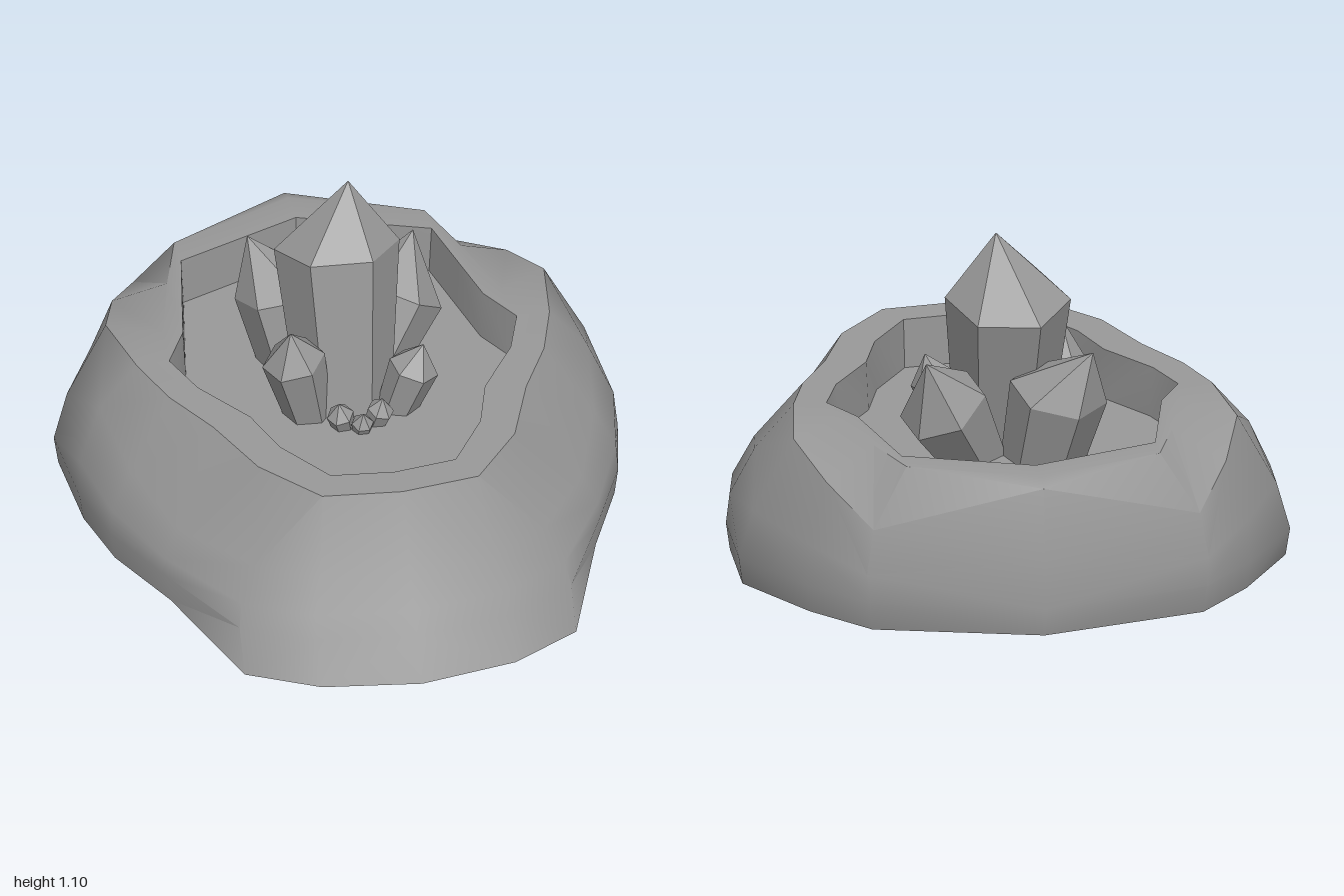
import * as THREE from 'three';
import { toCreasedNormals } from 'three/addons/utils/BufferGeometryUtils.js';

const stone = new THREE.MeshStandardMaterial({ color: 0x999999, side: THREE.DoubleSide });
stone.name = 'grey stone';

const FLOOR = 0.38;
const { lerp, smoothstep } = THREE.MathUtils;
const flat = (y, pts) => pts.map(([x, z]) => [x, y, z]);

// Half outlines of the rock, from the back, along +x, to the front
const widest = flat(0.13, [[0, -1], [0.53, -0.86], [0.7, -0.66], [0.87, -0.37], [0.86, -0.05],
  [0.81, 0.18], [0.69, 0.44], [0.53, 0.76], [0.31, 0.88], [0, 0.93]]);
// Ledge that dips at the back corners and the front flanks
const shoulder = [[0, 0.52, -0.965], [0.515, 0.36, -0.82], [0.63, 0.45, -0.61], [0.7, 0.52, -0.39],
  [0.78, 0.4, -0.12], [0.74, 0.34, 0.15], [0.645, 0.27, 0.39], [0.46, 0.3, 0.68], [0.28, 0.3, 0.79], [0, 0.3, 0.83]];
const outerRim = flat(0.54, [[0, -0.91], [0.4, -0.75], [0.47, -0.54], [0.54, -0.28], [0.66, -0.13],
  [0.6, 0.06], [0.5, 0.25], [0.41, 0.49], [0.25, 0.69], [0, 0.72]]);
const innerRim = flat(0.54, [[0, -0.8], [0.4, -0.65], [0.44, -0.46], [0.48, -0.27], [0.555, -0.13],
  [0.5, 0.03], [0.375, 0.22], [0.32, 0.4], [0.2, 0.585], [0, 0.61]]);

// Open bottom edge: tucked in slightly, drawn forward and down to the ground at the front
const bottom = widest.map(([x, , z]) => {
  const f = smoothstep(z, 0.44, 0.76);
  return [x * lerp(0.985, 1, f), 0.04 * (1 - f), z < 0 ? z * 0.98 : z + 0.07 * f];
});
// Flank: between the widest part and the ledge, bulging a little sideways
const flank = widest.map(([x, y, z], i) => {
  const [sx, sy, sz] = shoulder[i];
  return [lerp(x, sx, 0.4) * 1.03, lerp(y, sy, 0.4), lerp(z, sz, 0.4)];
});
// Basin floor edge, straight below the inner rim
const floorEdge = innerRim.map(([x, , z]) => [x * 0.98, FLOOR, z]);

function makeRock() {
  // Mirror each half outline into a closed ring
  const rings = [bottom, widest, flank, shoulder, outerRim, innerRim, floorEdge]
    .map(r => [...r, ...r.slice(1, -1).reverse().map(([x, y, z]) => [-x, y, z])]);
  const n = rings[0].length;
  const pos = [];
  for (let r = 0; r < rings.length; r++) {
    for (let i = 0; i < n; i++) {
      const j = (i + 1) % n;
      const a = rings[r][i], b = rings[r][j];
      if (r === rings.length - 1) {
        pos.push(...a, 0, FLOOR, -0.1, ...b); // basin floor fan
      } else {
        const c = rings[r + 1][j], d = rings[r + 1][i];
        // mirrored diagonals keep both halves alike
        if (i < n / 2) pos.push(...a, ...d, ...c, ...a, ...c, ...b);
        else pos.push(...a, ...d, ...b, ...d, ...c, ...b);
      }
    }
  }
  const g = new THREE.BufferGeometry();
  g.setAttribute('position', new THREE.Float32BufferAttribute(pos, 3));
  g.computeVertexNormals();
  const mesh = new THREE.Mesh(toCreasedNormals(g, 0.7), stone);
  mesh.name = 'rockBasin';
  return mesh;
}

// Six-sided crystal: base ring, wider shoulder ring, and a point that may sit off the axis
function makeCrystal(name, base, neck, tip, rBase, rTop, turn) {
  const from = new THREE.Vector3(...base);
  const axis = new THREE.Vector3(...neck).sub(from);
  const h = axis.length();
  const profile = [[0, 0], [rBase, 0], [rTop, h], [0, h]];
  const g = new THREE.LatheGeometry(profile.map(p => new THREE.Vector2(...p)), 6);
  g.rotateY(turn);
  g.applyQuaternion(new THREE.Quaternion().setFromUnitVectors(new THREE.Vector3(0, 1, 0), axis.normalize()));
  g.translate(...base);
  // draw the top centre up to the tip
  for (let i = 3; i < g.attributes.position.count; i += 4) g.attributes.position.setXYZ(i, ...tip);
  const mesh = new THREE.Mesh(toCreasedNormals(g, 0.3), stone);
  mesh.name = name;
  return mesh;
}

export function createModel() {
  const model = new THREE.Group();
  model.name = 'crystalRock';
  model.add(makeRock());

  const crystals = new THREE.Group();
  crystals.name = 'crystals';
  crystals.add(
    makeCrystal('mainCrystal', [-0.01, 0.24, -0.03], [-0.01, 0.87, -0.175], [0.03, 1.095, -0.19], 0.135, 0.197, 0.4),
    makeCrystal('backRightCrystal', [-0.07, 0.18, -0.22], [-0.145, 0.61, -0.335], [-0.24, 0.765, -0.425], 0.11, 0.155, 0.3),
    makeCrystal('backLeftCrystal', [0.08, 0.32, -0.2], [0.215, 0.57, -0.3], [0.28, 0.74, -0.38], 0.095, 0.145, 0.2),
    makeCrystal('frontRightCrystal', [-0.12, 0.28, 0.0], [-0.195, 0.6, 0.035], [-0.21, 0.72, 0.06], 0.065, 0.1, 0.4),
    makeCrystal('frontLeftCrystal', [0.11, 0.3, 0.03], [0.185, 0.53, 0.055], [0.215, 0.615, 0.06], 0.055, 0.08, 0.2),
    makeCrystal('smallCrystalCentre', [0, 0.33, 0.12], [0, 0.41, 0.15], [0, 0.45, 0.16], 0.025, 0.035, 0.5),
  );
  // Pair of small crystals at the foot of the main one
  for (const s of [-1, 1]) {
    crystals.add(makeCrystal('smallCrystalSide', [s * 0.04, 0.33, 0.09], [s * 0.065, 0.43, 0.12],
      [s * 0.07, 0.475, 0.125], 0.03, 0.043, 0.5));
  }
  model.add(crystals);
  return model;
}
